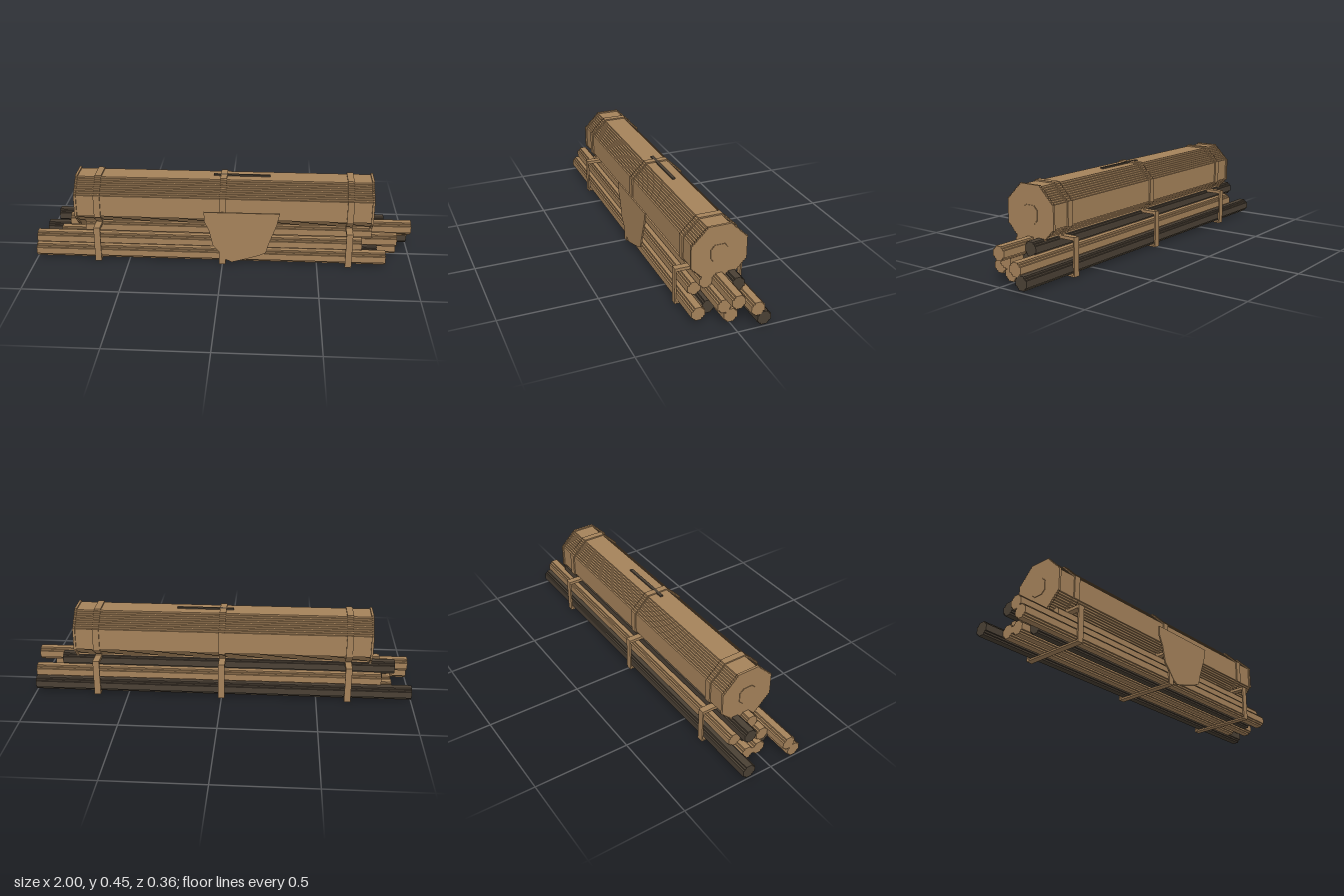
import * as THREE from 'three';

const wood = new THREE.MeshStandardMaterial({ color: 0xa5825a });
wood.name = 'tan wood';
const dark = new THREE.MeshStandardMaterial({ color: 0x4a4034 });
dark.name = 'dark wood';

// Octagon whose slanted sides are cut into small stair steps.
function steppedOctagon(r, flat, steps) {
  const d = (r - flat) / steps;
  const corner = [];
  for (let i = 0; i < steps; i++) {
    corner.push([r - i * d, flat + i * d], [r - (i + 1) * d, flat + i * d]);
  }
  corner.push([flat, r]);
  const points = [];
  for (let q = 0; q < 4; q++) {
    const c = Math.round(Math.cos(q * Math.PI / 2));
    const s = Math.round(Math.sin(q * Math.PI / 2));
    for (const [a, b] of corner) points.push(new THREE.Vector2(a * c - b * s, a * s + b * c));
  }
  return new THREE.Shape(points);
}

export function createModel() {
  const model = new THREE.Group();
  model.name = 'logRack';

  const add = (name, geometry, material, x, y, z) => {
    const mesh = new THREE.Mesh(geometry, material);
    mesh.name = name;
    mesh.position.set(x, y, z);
    model.add(mesh);
  };
  const box = (name, material, w, h, d, x, y, z) =>
    add(name, new THREE.BoxGeometry(w, h, d), material, x, y, z);
  const bar = (name, shape, material, x0, x1, y, z) => {
    const geometry = new THREE.ExtrudeGeometry(shape, { depth: x1 - x0, bevelEnabled: false });
    geometry.rotateY(Math.PI / 2);
    add(name, geometry, material, x0, y, z);
  };

  // Large barrel with raised end rims and round end plates
  const barrelY = 0.302;
  const rim = steppedOctagon(0.143, 0.062, 9);
  const hub = steppedOctagon(0.045, 0.027, 3);
  bar('barrel', steppedOctagon(0.136, 0.058, 9), wood, -0.78, 0.78, barrelY, 0);
  for (const s of [-1, 1]) {
    bar('barrelRim', rim, wood, s * 0.78 - 0.006, s * 0.78 + 0.006, barrelY, 0);
    bar('endPlate', hub, wood, s * 0.786 - 0.003, s * 0.786 + 0.003, barrelY, 0);
  }
  box('topSlot', dark, 0.3, 0.009, 0.016, 0.095, 0.441, 0);

  // Stacked logs: start x, end x, y, z, material
  const logShape = steppedOctagon(0.034, 0.017, 2);
  const logs = [
    [-1, 0.86, 0.045, 0.134, wood],
    [-0.85, 0.82, 0.045, 0.067, dark],
    [-0.9, 0.925, 0.045, 0, wood],
    [-0.9, 0.85, 0.045, -0.067, wood],
    [-1, 1, 0.045, -0.134, dark],
    [-1, 0.735, 0.102, 0.1, wood],
    [-0.88, 0.925, 0.102, 0.034, wood],
    [-0.85, 0.84, 0.102, -0.033, dark],
    [-0.84, 1, 0.102, -0.1, wood],
    [-0.74, 0.785, 0.161, 0.064, wood],
    [-0.835, 1, 0.161, 0, wood],
    [-0.91, 0.86, 0.161, -0.064, dark],
  ];
  for (const [x0, x1, y, z, material] of logs) bar('log', logShape, material, x0, x1, y, z);
  box('logStub', dark, 0.02, 0.034, 0.026, 0.858, 0.055, -0.066);

  // Three frames: band round the barrel, cradle round the logs
  for (const x of [-0.665, 0, 0.665]) {
    const w = 0.034;
    bar('barrelBand', rim, wood, x - w / 2, x + w / 2, barrelY, 0);
    box('frameBase', wood, w, 0.009, 0.354, x, 0.0045, 0);
    for (const s of [-1, 1]) {
      box('framePost', wood, w, 0.194, 0.008, x, 0.097, s * 0.173);
      box('frameArm', wood, w, 0.016, 0.09, x, 0.186, s * 0.132);
    }
  }

  // Tapered shield on the front
  const shield = new THREE.Shape([
    [-0.097, 0.302], [-0.095, 0.25], [-0.07, 0.195], [-0.05, 0.11], [-0.022, 0.08],
    [0.017, 0.03], [0.05, 0.014], [0.13, 0.037], [0.2, 0.06], [0.23, 0.075],
    [0.245, 0.13], [0.285, 0.24], [0.298, 0.302],
  ].map(([x, y]) => new THREE.Vector2(x, y)));
  add('frontShield', new THREE.ExtrudeGeometry(shield, { depth: 0.008, bevelEnabled: false }),
    wood, 0, 0, 0.1705);

  return model;
}
